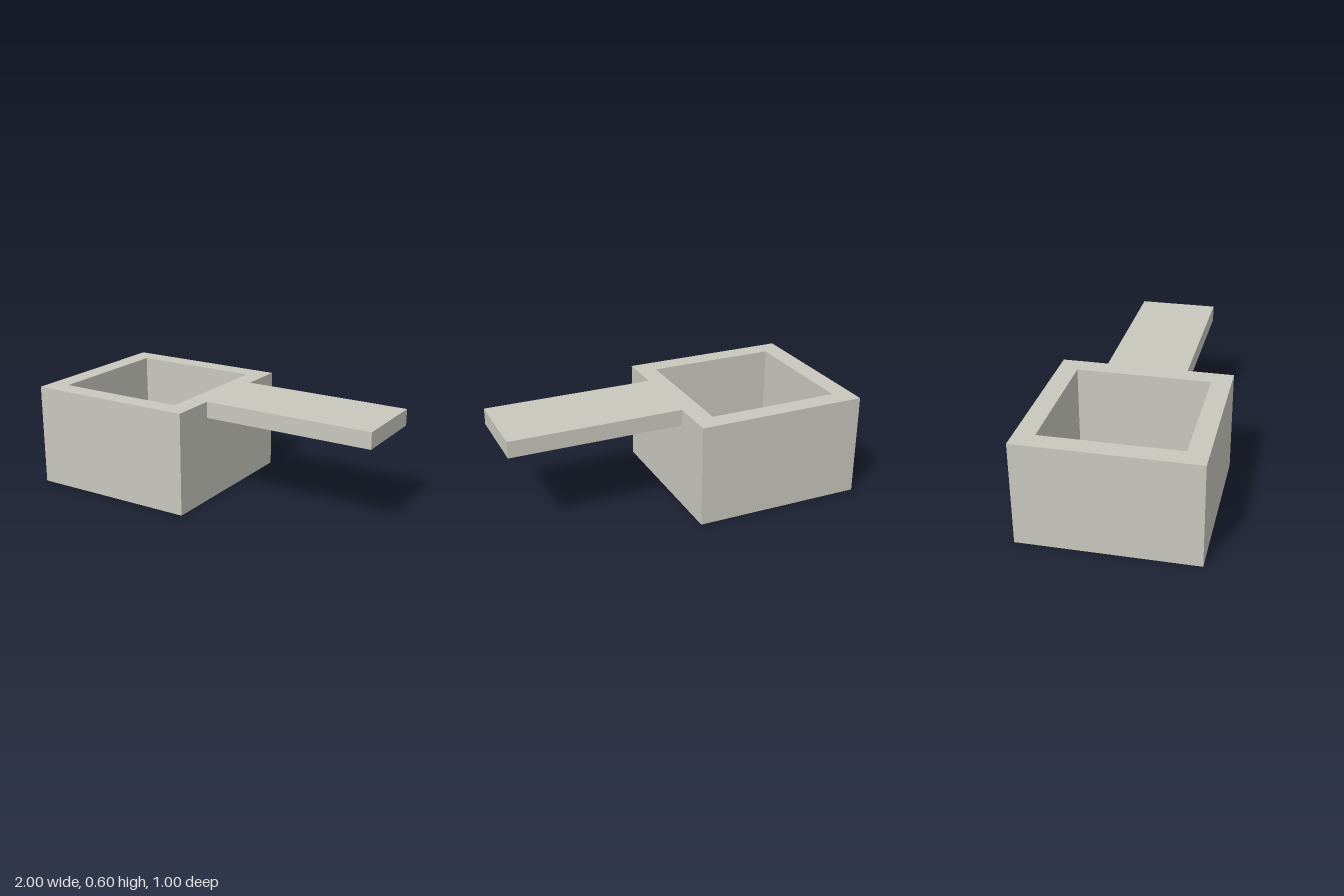
import * as THREE from 'three';

const HEIGHT = 0.595, FLOOR = 0.11;

// Rectangle outline centred on the origin
function rect(PathType, half) {
  return new PathType([[-half, -half], [half, -half], [half, half], [-half, half]]
    .map(([x, y]) => new THREE.Vector2(x, y)));
}

// Flat slab or ring extruded upwards from y0 to y1
function extrudeUp(shape, y0, y1) {
  const geometry = new THREE.ExtrudeGeometry(shape, { depth: y1 - y0, bevelEnabled: false });
  return geometry.rotateX(-Math.PI / 2).translate(0, y0, 0);
}

export function createModel() {
  const group = new THREE.Group();
  group.name = 'squarePan';
  const material = new THREE.MeshStandardMaterial({ color: 0xc8c8be });
  material.name = 'warm grey';

  function add(name, geometry, x) {
    const mesh = new THREE.Mesh(geometry, material);
    mesh.name = name;
    mesh.position.x = x;
    group.add(mesh);
  }

  // Square walls around an open cavity
  const walls = rect(THREE.Shape, 0.5);
  walls.holes.push(rect(THREE.Path, 0.386));
  add('walls', extrudeUp(walls, 0, HEIGHT), -0.5);

  // Floor filling the bottom of the cavity
  add('floor', extrudeUp(rect(THREE.Shape, 0.386), 0, FLOOR), -0.5);

  // Flat handle flush with the rim
  const handle = new THREE.BoxGeometry(1, 0.095, 0.468);
  add('handle', handle.translate(0, HEIGHT - 0.0475, 0), 0.5);

  return group;
}
